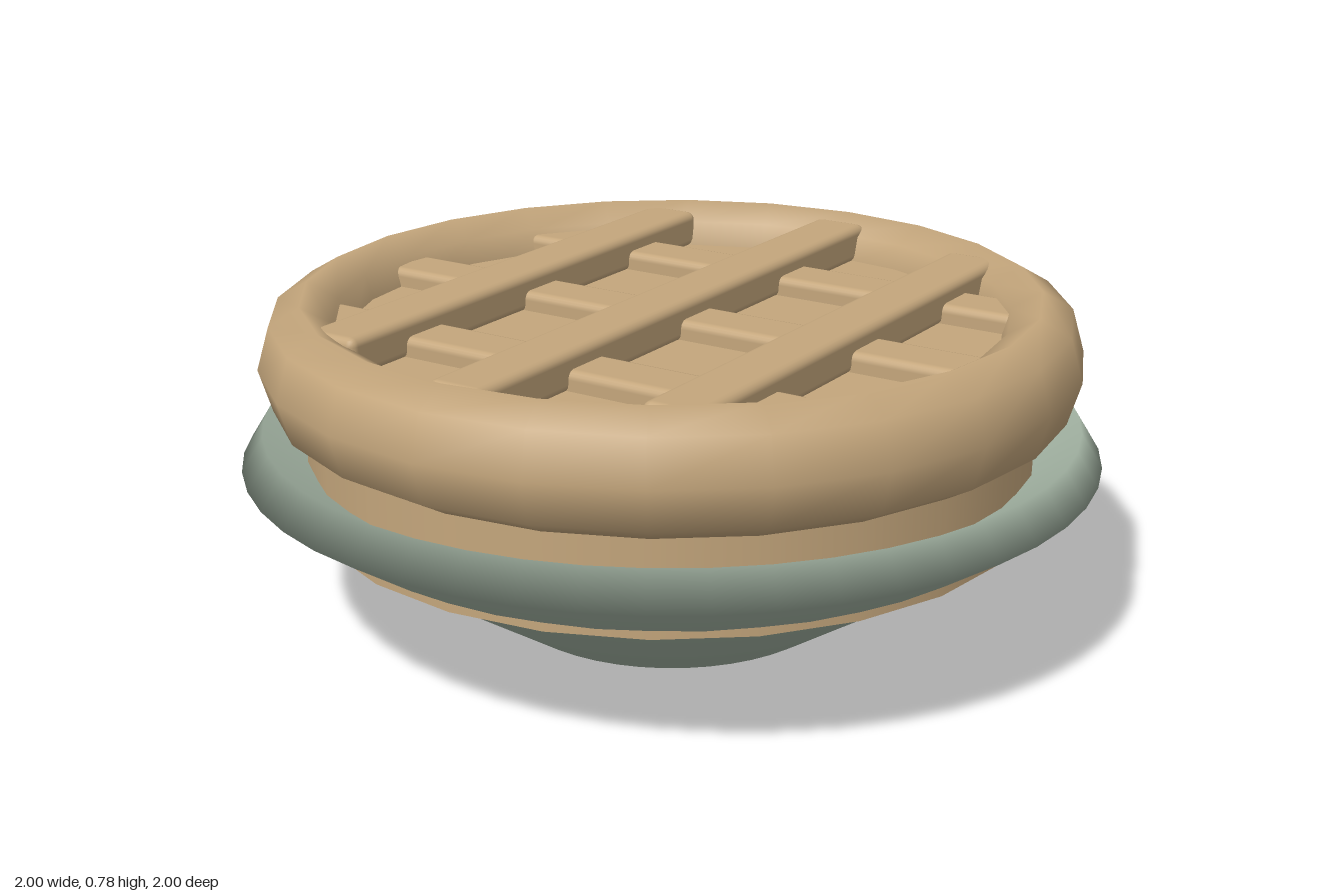
import * as THREE from 'three';
import { RoundedBoxGeometry } from 'three/addons/geometries/RoundedBoxGeometry.js';

export function createModel() {
  const model = new THREE.Group();
  model.name = 'pie';

  const pastry = new THREE.MeshStandardMaterial({ color: 0xc4a67c });
  pastry.name = 'pastry';
  const glaze = new THREE.MeshStandardMaterial({ color: 0xa0b0a0 });
  glaze.name = 'dish green';

  const add = (name, geometry, material, x = 0, y = 0, z = 0) => {
    const mesh = new THREE.Mesh(geometry, material);
    mesh.name = name;
    mesh.position.set(x, y, z);
    model.add(mesh);
    return mesh;
  };

  // Flared dish: base, outer wall, rim, inner wall and floor
  const profile = [
    [0, 0], [0.4, 0], [1, 0.4], [0.95, 0.48], [0.35, 0.08], [0, 0.08],
  ].map(([r, y]) => new THREE.Vector2(r, y));
  add('dish', new THREE.LatheGeometry(profile, 48), glaze);

  // Pie body, its lower edge poking through the dish wall
  add('filling', new THREE.CylinderGeometry(0.85, 0.85, 0.4, 24), pastry, 0, 0.48, 0);

  // Thick crust ring, taller than it is wide
  const ring = new THREE.TorusGeometry(0.85, 0.1, 8, 24);
  ring.rotateX(-Math.PI / 2);
  ring.scale(1, 1.4, 1);
  add('crust', ring, pastry, 0, 0.64, 0);

  // Lattice: three low strips across, three higher strips front to back
  for (const offset of [-0.44, 0, 0.44]) {
    const length = offset === 0 ? 1.63 : 1.38;
    add('crossStrip', new RoundedBoxGeometry(length, 0.09, 0.14, 2, 0.02), pastry, 0, 0.68, offset);
    add('longStrip', new RoundedBoxGeometry(0.14, 0.09, length, 2, 0.02), pastry, offset, 0.72, 0);
  }

  return model;
}
